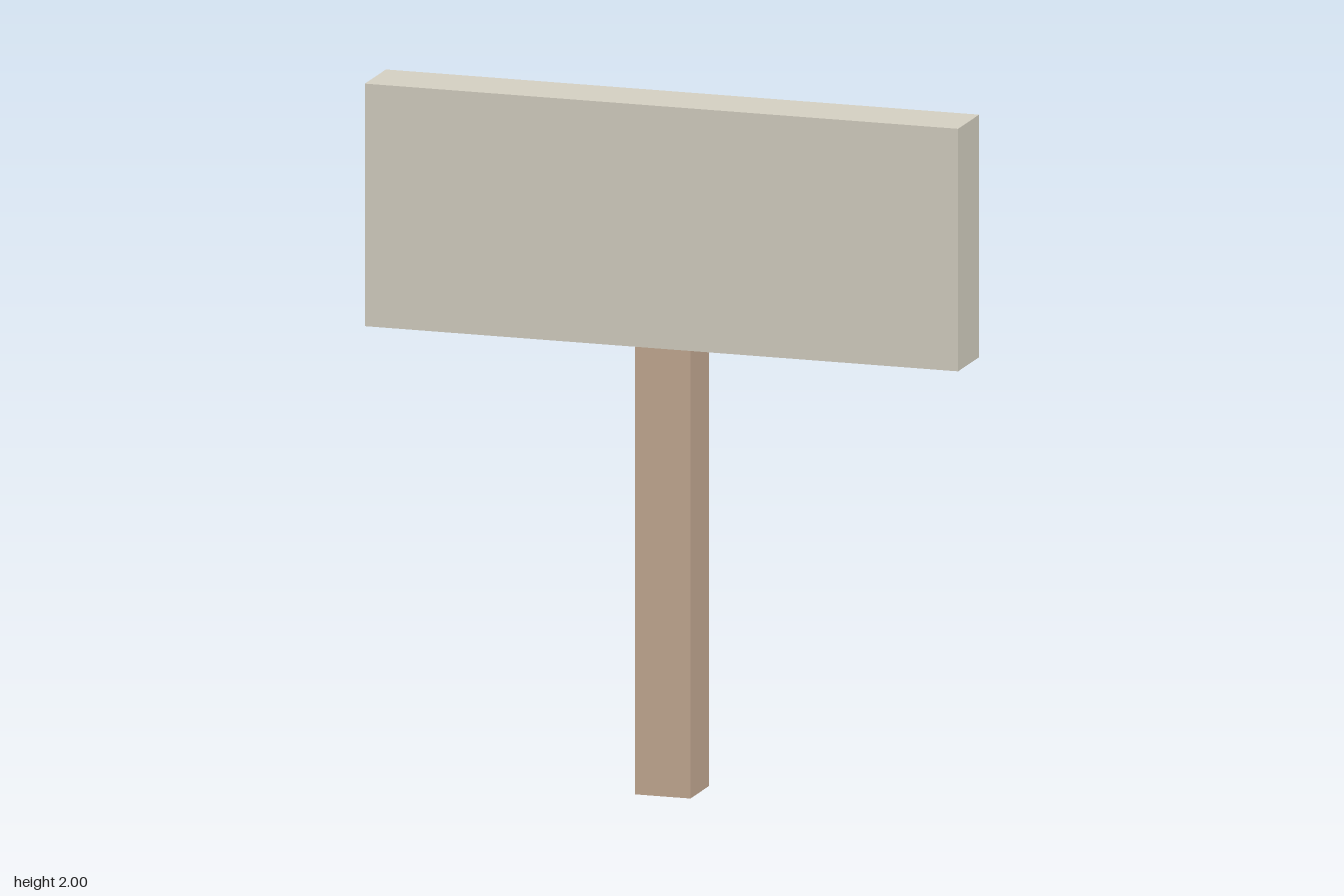
import * as THREE from 'three';

// Box standing on height y0 and reaching y1, centred on x and z
function block(name, width, depth, y0, y1, color) {
  const mesh = new THREE.Mesh(
    new THREE.BoxGeometry(width, y1 - y0, depth),
    new THREE.MeshStandardMaterial({ color })
  );
  mesh.position.y = (y0 + y1) / 2;
  mesh.name = name;
  return mesh;
}

export function createModel() {
  const sign = new THREE.Group();
  sign.name = 'signpost';
  // Square wooden post under a wide, pale board
  sign.add(block('post', 0.165, 0.165, 0, 1.298, 0xc8ad96));
  sign.add(block('board', 1.764, 0.186, 1.298, 2, 0xd8d3c5));
  return sign;
}
